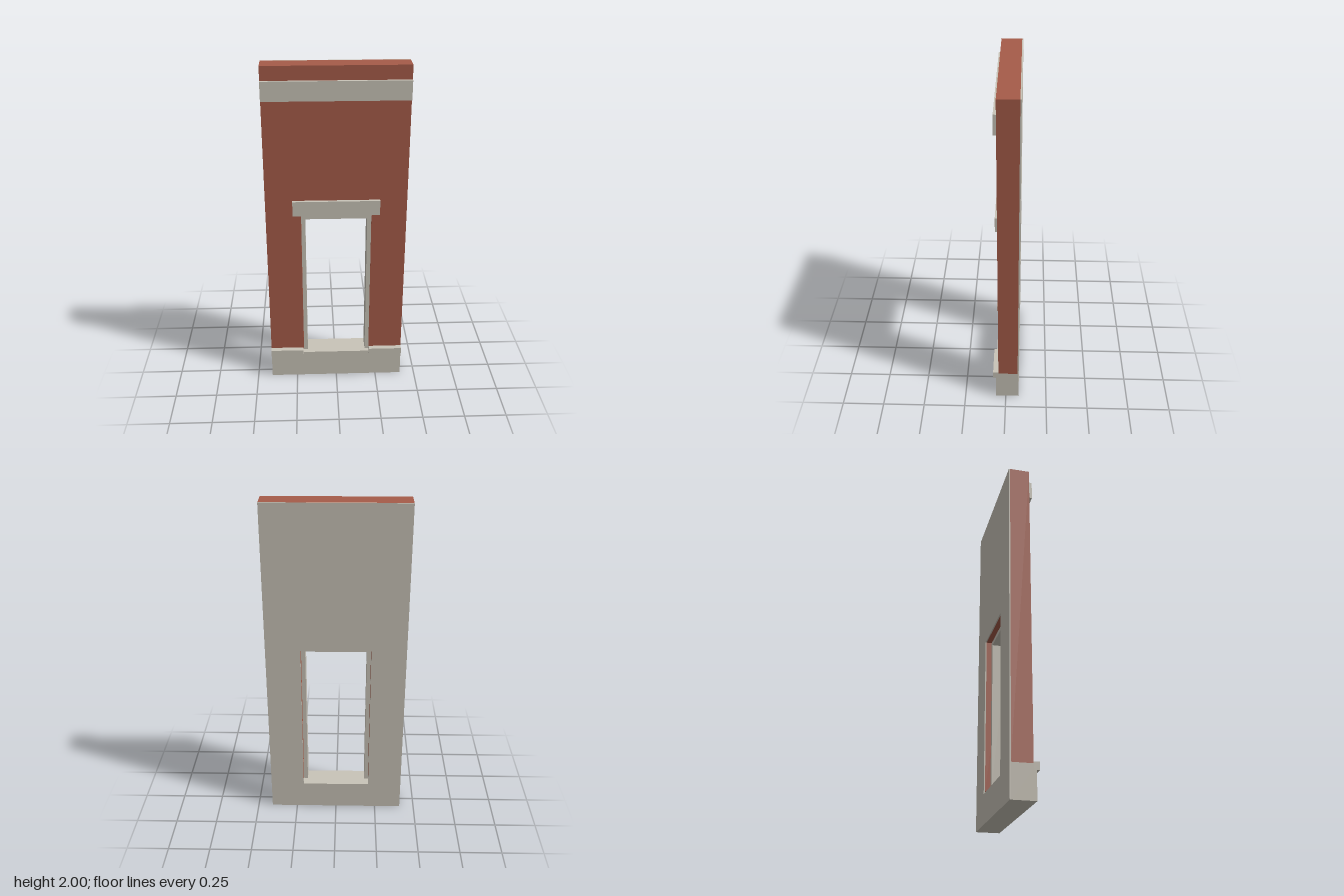
import * as THREE from 'three';

export function createModel() {
  const group = new THREE.Group();
  const brick = new THREE.MeshStandardMaterial({ name: 'red brick', color: 0xa65c49 });
  const stone = new THREE.MeshStandardMaterial({ name: 'pale stone', color: 0xc9c4b8 });
  const W = 0.41; // half width of the wall

  const add = (name, geometry, material) => {
    const mesh = new THREE.Mesh(geometry, material);
    mesh.name = name;
    group.add(mesh);
  };
  // box given by its limits
  const block = (name, x0, x1, y0, y1, z0, z1, material = stone) => {
    const g = new THREE.BoxGeometry(x1 - x0, y1 - y0, z1 - z0);
    g.translate((x0 + x1) / 2, (y0 + y1) / 2, (z0 + z1) / 2);
    add(name, g, material);
  };
  // outline in x and y, extruded from z0 to z1
  const outline = (pts) => pts.map(([x, y]) => new THREE.Vector2(x, y));
  const slab = (name, pts, hole, z0, z1, material = stone) => {
    const shape = new THREE.Shape(outline(pts));
    if (hole) shape.holes.push(new THREE.Path(outline(hole)));
    const g = new THREE.ExtrudeGeometry(shape, { depth: z1 - z0, bevelEnabled: false });
    g.translate(0, 0, z0);
    add(name, g, material);
  };
  // upside-down U around the doorway
  const arch = (outer, top, inner, innerTop, bottom) => [
    [-outer, bottom], [-inner, bottom], [-inner, innerTop], [inner, innerTop],
    [inner, bottom], [outer, bottom], [outer, top], [-outer, top],
  ];

  // brick wall with doorway
  slab('brickWall', arch(W, 2, 0.205, 1.13, 0.19), null, -0.072, 0.045, brick);

  // plaster lining on the back
  slab('backLining', [[-W, 0], [W, 0], [W, 2], [-W, 2]],
    [[-0.205, 0.175], [-0.205, 1.13], [0.205, 1.13], [0.205, 0.175]], -0.079, -0.072);

  // stone base, lower across the threshold
  slab('base', [[-W, 0], [W, 0], [W, 0.19], [0.21, 0.19], [0.21, 0.175],
    [-0.21, 0.175], [-0.21, 0.19], [-W, 0.19]], null, -0.072, 0.061);

  // door frame
  slab('doorFrame', arch(0.204, 1.13, 0.18, 1.105, 0.19), null, -0.04, 0.052);

  // base caps on both sides of the doorway
  for (const s of [-1, 1]) {
    const [a, b] = s < 0 ? [-W, -0.207] : [0.207, W];
    block(s < 0 ? 'rightBaseCap' : 'leftBaseCap', a, b, 0.157, 0.2, 0.045, 0.077);
  }

  // lintel and upper band
  block('lintel', -0.253, 0.253, 1.13, 1.22, 0.045, 0.064);
  block('upperBand', -W, W, 1.81, 1.92, 0.045, 0.061);

  return group;
}
